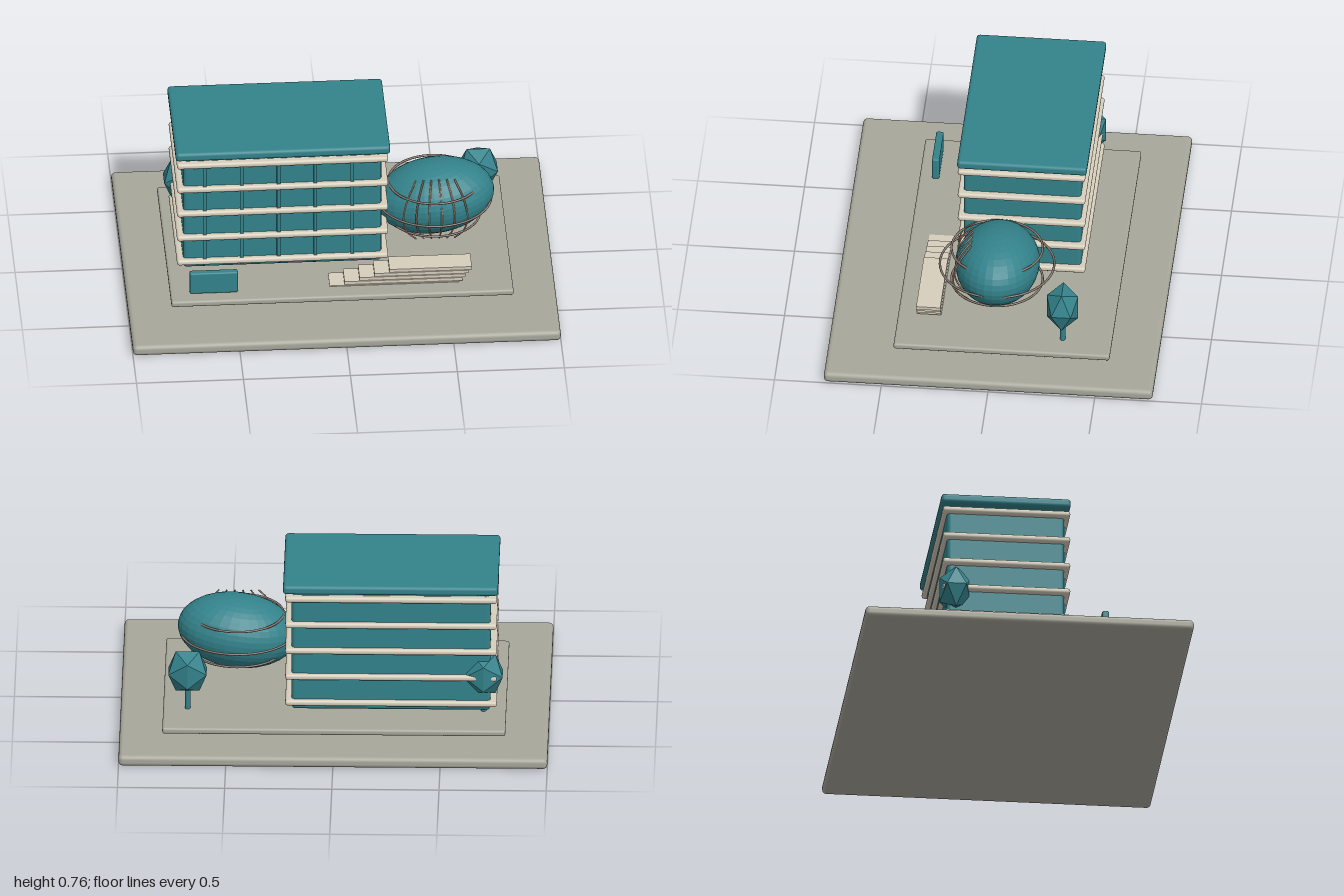
import * as THREE from 'three';
import { RoundedBoxGeometry } from 'three/addons/geometries/RoundedBoxGeometry.js';

const material = (name, color, flatShading = false) => {
  const m = new THREE.MeshStandardMaterial({ color, flatShading });
  m.name = name;
  return m;
};

export function createModel() {
  const teal = material('teal', 0x33828b);
  const tealFacet = teal.clone();
  tealFacet.flatShading = true;
  const stone = material('stone grey', 0xa8a79b);
  const cream = material('cream', 0xd6cebc);
  const steel = material('brown steel', 0x85786f);
  const copper = material('pale copper', 0xc6a18b);

  const model = new THREE.Group();
  model.name = 'officeBuilding';

  const add = (name, geometry, mat, x = 0, y = 0, z = 0, parent = model) => {
    const mesh = new THREE.Mesh(geometry, mat);
    mesh.name = name;
    mesh.position.set(x, y, z);
    parent.add(mesh);
    return mesh;
  };
  // box given by its limits on each axis, with optional rounded edges
  const block = (name, mat, [x0, x1], [y0, y1], [z0, z1], radius = 0, parent = model) => {
    const size = [x1 - x0, y1 - y0, z1 - z0];
    const geometry = radius
      ? new RoundedBoxGeometry(...size, 3, radius)
      : new THREE.BoxGeometry(...size);
    return add(name, geometry, mat, (x0 + x1) / 2, (y0 + y1) / 2, (z0 + z1) / 2, parent);
  };
  const group = (name) => {
    const g = new THREE.Group();
    g.name = name;
    model.add(g);
    return g;
  };

  // ground and plinth
  block('ground', stone, [-1, 1], [0, 0.052], [-0.77, 0.77], 0.02);
  block('plinth', stone, [-0.8, 0.8], [0.067, 0.097], [-0.55, 0.462], 0.011);

  // main block with floor slabs, front mullions and roof
  const tower = group('tower');
  block('walls', teal, [-0.727, 0.2], [0.112, 0.7], [-0.36, 0.19], 0.018, tower);
  for (let i = 0; i < 5; i++) {
    const y = 0.152 + i * 0.1325;
    block('floorSlab', cream, [-0.757, 0.23], [y - 0.014, y + 0.014], [-0.382, 0.215], 0.012, tower);
    const x = -0.627 + i * 0.1725;
    block('mullion', teal, [x - 0.008, x + 0.008], [0.13, 0.69], [0.18, 0.202], 0, tower);
  }
  block('roof', teal, [-0.763, 0.24], [0.712, 0.756], [-0.39, 0.217], 0.016, tower);

  // tilted egg-shaped hall
  const hall = group('eggHall');
  const egg = add('eggShell', new THREE.SphereGeometry(1, 32, 20), tealFacet, 0.46, 0.35, 0.005, hall);
  egg.scale.set(0.28, 0.172, 0.196);
  egg.rotation.z = THREE.MathUtils.degToRad(8);

  // horizontal hoops
  for (const [y, r] of [[0.255, 0.213], [0.344, 0.267], [0.435, 0.213]]) {
    const hoop = add('hoop', new THREE.TorusGeometry(r, 0.0055, 8, 56), steel, 0.458, y, 0.008, hall);
    hoop.rotation.x = Math.PI / 2;
  }
  // curved ribs over the front of the shell
  for (let i = 0; i < 6; i++) {
    const mid = 0.302 + i * 0.06;
    const end = 0.46 + (mid - 0.46) * 0.6;
    const path = new THREE.CatmullRomCurve3([
      new THREE.Vector3(end, 0.505, 0.12),
      new THREE.Vector3(mid + (end - mid) * 0.28, 0.425, 0.178),
      new THREE.Vector3(mid, 0.34, 0.2),
      new THREE.Vector3(mid + (end - mid) * 0.28, 0.262, 0.18),
      new THREE.Vector3(end, 0.192, 0.135),
    ]);
    add('rib', new THREE.TubeGeometry(path, 24, 0.004, 6), copper, 0, 0, 0, hall);
  }

  // entrance steps
  const steps = group('steps');
  for (let i = 0; i < 5; i++) {
    const top = 0.101 + i * 0.0195;
    block('step', cream, [-0.055 + i * 0.07, 0.55 + i * 0.015], [top - 0.016, top], [0.26, 0.373], 0, steps);
  }

  // blank sign panel
  block('signPanel', teal, [-0.71, -0.485], [0.1, 0.212], [0.368, 0.402], 0.008);

  // faceted trees
  for (const x of [0.686, -0.695]) {
    const tree = group('tree');
    tree.position.set(x, 0, -0.32);
    add('trunk', new THREE.CylinderGeometry(0.013, 0.013, 0.13, 12), teal, 0, 0.16, 0, tree);
    const crown = add('crown', new THREE.IcosahedronGeometry(1, 0), tealFacet, 0, 0.286, 0, tree);
    crown.scale.set(0.105, 0.118, 0.086);
  }

  return model;
}
